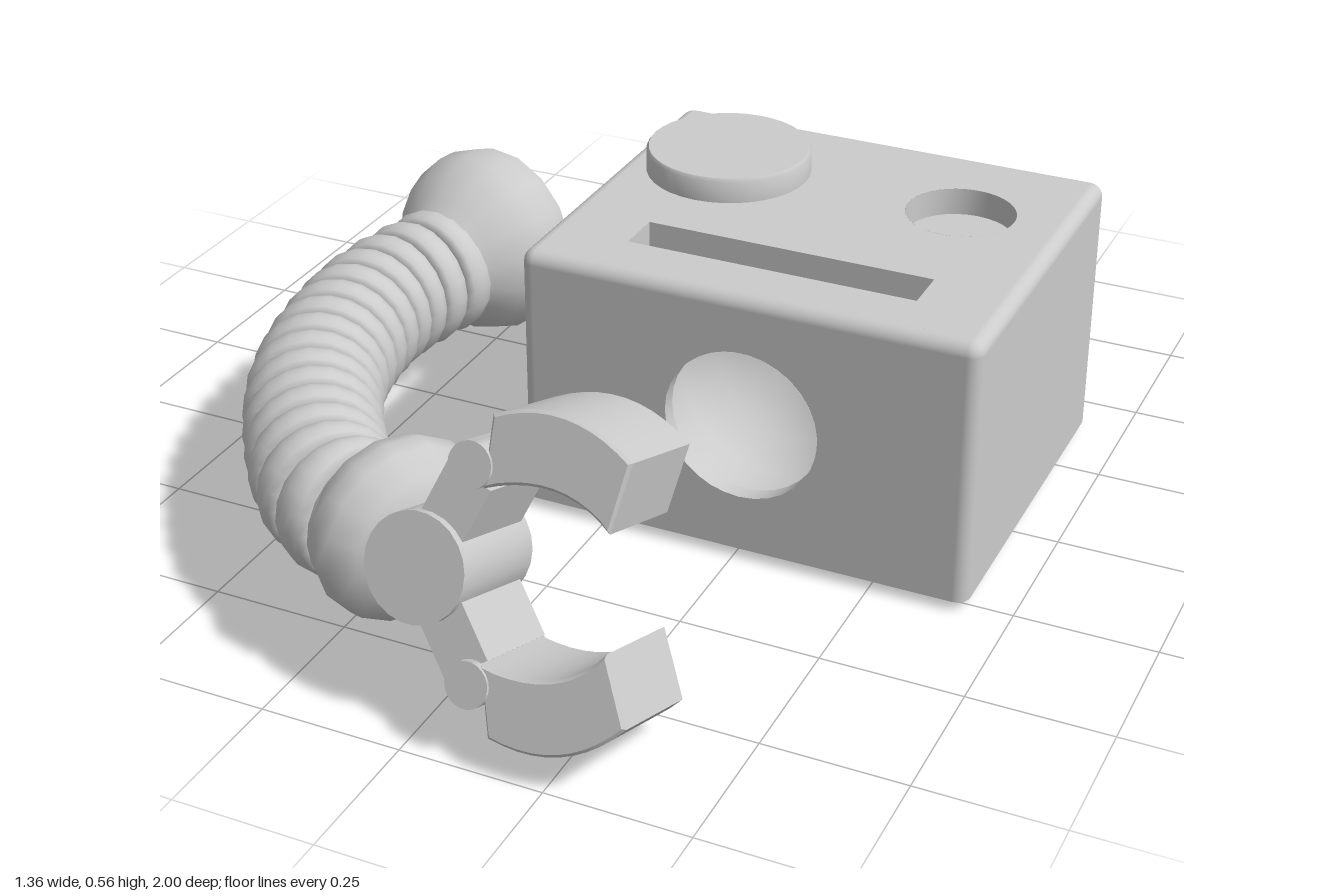
import * as THREE from 'three';
import { toCreasedNormals } from 'three/addons/utils/BufferGeometryUtils.js';
import { RoundedBoxGeometry } from 'three/addons/geometries/RoundedBoxGeometry.js';
import { ParametricGeometry } from 'three/addons/geometries/ParametricGeometry.js';

const V3 = (x, y, z) => new THREE.Vector3(x, y, z);
const V2 = (p) => new THREE.Vector2(p[0], p[1]);
const grey = new THREE.MeshStandardMaterial({ color: 0xcccccc, side: THREE.DoubleSide });

function add(parent, name, geometry, x = 0, y = 0, z = 0) {
  const mesh = new THREE.Mesh(geometry, grey);
  mesh.name = name;
  mesh.position.set(x, y, z);
  parent.add(mesh);
  return mesh;
}

// Turned part with crisp edges
const lathe = (points, sides, start = 0) =>
  toCreasedNormals(new THREE.LatheGeometry(points.map(V2), sides, start), 0.7);

function rectPath(Type, x0, y0, x1, y1) {
  return new Type([[x0, y0], [x1, y0], [x1, y1], [x0, y1]].map(V2));
}
function circlePath(x, y, r) {
  const path = new THREE.Path();
  path.absarc(x, y, r, 0, Math.PI * 2, true);
  return path;
}

function makeHead() {
  const head = new THREE.Group();
  head.name = 'head';
  const x0 = -0.155, x1 = 0.675, z0 = -0.415, z1 = 0.28, top = 0.49, r = 0.025;

  // Rounded shell, with the bottom and the flats of the top and front left open
  const box = new RoundedBoxGeometry(x1 - x0, top + r, z1 - z0, 3, r);
  const p = box.attributes.position, n = box.attributes.normal;
  const pos = [], nor = [];
  for (let i = 0; i < p.count; i += 3) {
    const t = [i, i + 1, i + 2];
    if (t.every((k) => n.getY(k) > 0.999) || t.every((k) => n.getZ(k) > 0.999)) continue;
    if (t.some((k) => n.getY(k) < -0.01)) continue;
    for (const k of t) {
      pos.push(p.getX(k), p.getY(k), p.getZ(k));
      nor.push(n.getX(k), n.getY(k), n.getZ(k));
    }
  }
  const shell = new THREE.BufferGeometry();
  shell.setAttribute('position', new THREE.Float32BufferAttribute(pos, 3));
  shell.setAttribute('normal', new THREE.Float32BufferAttribute(nor, 3));
  add(head, 'headShell', shell, (x0 + x1) / 2, (top - r) / 2, (z0 + z1) / 2);

  // Front panel with the neck socket behind its round hole
  const front = rectPath(THREE.Shape, x0 + r, 0, x1 - r, top - r);
  front.holes.push(circlePath(0.26, 0.245, 0.14));
  add(head, 'frontPanel', new THREE.ShapeGeometry(front, 32), 0, 0, z1);
  const bowl = [[0, -0.31], [0.08, -0.295], [0.15, -0.24], [0.19, -0.17], [0.2, -0.1], [0.18, -0.035], [0.14, -0.03], [0.14, 0]];
  add(head, 'neckSocket', lathe(bowl, 32), 0.26, 0.245, z1).rotation.x = Math.PI / 2;

  // Top panel with the eye hole and mouth slot
  const face = rectPath(THREE.Shape, x0 + r, -z1 + r, x1 - r, -z0 - r);
  face.holes.push(circlePath(0.48, 0.18, 0.098), rectPath(THREE.Path, 0, -0.17, 0.525, -0.085));
  add(head, 'facePanel', new THREE.ShapeGeometry(face, 32), 0, top, 0).rotation.x = -Math.PI / 2;
  const depth = 0.05;
  add(head, 'eyeRecess', lathe([[0, -depth], [0.098, -depth], [0.098, 0]], 32), 0.48, top, -0.18);
  const h = Math.SQRT1_2;
  const slot = lathe([[0, -depth], [h, -depth], [h, 0]], 4, Math.PI / 4);
  add(head, 'mouthSlot', slot, 0.2625, top, 0.1275).scale.set(0.525, 1, 0.085);

  // Raised button eye
  const eye = [[0.15, 0], [0.15, 0.04], [0.146, 0.046], [0, 0.046]];
  add(head, 'buttonEye', lathe(eye, 36), 0.035, top, -0.18);
  return head;
}

function makeArm() {
  const arm = new THREE.Group();
  arm.name = 'arm';
  const path = new THREE.CatmullRomCurve3([
    V3(-0.53, 0.2, -0.12), V3(-0.565, 0.2, 0.1), V3(-0.515, 0.2, 0.37),
    V3(-0.4, 0.2, 0.57), V3(-0.28, 0.2, 0.7), V3(-0.16, 0.2, 0.75)]);

  // Bellows: ridges swelling along the bent path
  const rings = 16;
  add(arm, 'bellows', new ParametricGeometry((u, v, out) => {
    const t = path.getTangentAt(v);
    const a = u * Math.PI * 2;
    const r = 0.103 + 0.02 * Math.sqrt(Math.abs(Math.sin(v * rings * Math.PI)));
    const side = V3(t.z, 0, -t.x).multiplyScalar(Math.cos(a) * r);
    out.copy(path.getPointAt(v)).add(side);
    out.y += Math.sin(a) * r;
  }, 20, rings * 6));

  // Cuffs at both ends
  const cuff = (name, profile, at, dir) => {
    const mesh = add(arm, name, lathe(profile, 16), ...at);
    mesh.quaternion.setFromUnitVectors(V3(0, 1, 0), dir.normalize());
  };
  cuff('shoulderCuff', [[0.1, -0.02], [0.125, 0.01], [0.16, 0.05], [0.18, 0.1], [0.18, 0.14], [0.168, 0.178], [0.155, 0.183], [0, 0.183]],
    [-0.53, 0.215, -0.11], V3(0.23, 0, -0.97));
  cuff('wristCuff', [[0.11, -0.01], [0.145, 0.03], [0.16, 0.07], [0.155, 0.1], [0.125, 0.14], [0.08, 0.16], [0, 0.16]],
    [-0.19, 0.215, 0.72], V3(0.88, 0, 0.47));
  return arm;
}

function makeClaw() {
  const claw = new THREE.Group();
  claw.name = 'claw';
  claw.position.set(0, 0.235, 0.82);
  claw.rotation.set(-0.327, -0.05, 0.122);

  const rod = (name, r, length, x, y) => {
    const mesh = add(claw, name, lathe([[0, -length / 2], [r, -length / 2], [r, length / 2], [0, length / 2]], 24), x, y);
    mesh.rotation.x = Math.PI / 2;
  };
  rod('palm', 0.09, 0.21, 0, 0);

  for (const s of [1, -1]) {
    const side = s > 0 ? 'upper' : 'lower';
    rod(side + 'Knuckle', 0.038, 0.21, 0.095, 0.17 * s);

    // Link from the palm to the knuckle
    const link = add(claw, side + 'Link', new THREE.BoxGeometry(0.13, 0.085, 0.18), 0.055, 0.095 * s);
    link.rotation.z = s * Math.atan2(0.17, 0.095);

    // Curved finger
    const shape = new THREE.Shape();
    shape.moveTo(0.115, 0.135 * s);
    shape.lineTo(0.13, 0.25 * s);
    shape.quadraticCurveTo(0.26, 0.295 * s, 0.365, 0.2 * s);
    shape.lineTo(0.33, 0.09 * s);
    shape.quadraticCurveTo(0.25, 0.175 * s, 0.115, 0.135 * s);
    const finger = new THREE.ExtrudeGeometry(shape, {
      depth: 0.19, curveSegments: 10, bevelThickness: 0.005, bevelSize: 0.005, bevelOffset: -0.005, bevelSegments: 1 });
    add(claw, side + 'Finger', toCreasedNormals(finger, 0.5), 0, 0, -0.095);
  }
  return claw;
}

function makeAntenna() {
  const antenna = new THREE.Group();
  antenna.name = 'antenna';
  const core = new THREE.CatmullRomCurve3([
    V3(0.29, 0.27, -0.41), V3(0.3, 0.285, -0.52), V3(0.31, 0.25, -0.66), V3(0.285, 0.22, -0.78),
    V3(0.18, 0.2, -0.86), V3(0.07, 0.17, -0.86), V3(-0.02, 0.14, -0.87)]);

  // Wire coiled around the bent core
  const steps = 120, turns = 6.5;
  const frames = core.computeFrenetFrames(steps);
  const points = [];
  for (let i = 0; i <= steps; i++) {
    const a = (i / steps) * turns * Math.PI * 2;
    const r = 0.055 * Math.min(1, (steps - i) / 12 + 0.2);
    points.push(core.getPointAt(i / steps)
      .addScaledVector(frames.normals[i], Math.cos(a) * r)
      .addScaledVector(frames.binormals[i], Math.sin(a) * r));
  }
  add(antenna, 'spring', new THREE.TubeGeometry(new THREE.CatmullRomCurve3(points), 240, 0.011, 8));
  add(antenna, 'ball', new THREE.SphereGeometry(0.117, 20, 14), -0.113, 0.118, -0.883);
  return antenna;
}

export function createModel() {
  const model = new THREE.Group();
  model.name = 'robotParts';
  model.add(makeHead(), makeArm(), makeClaw(), makeAntenna());
  return model;
}
